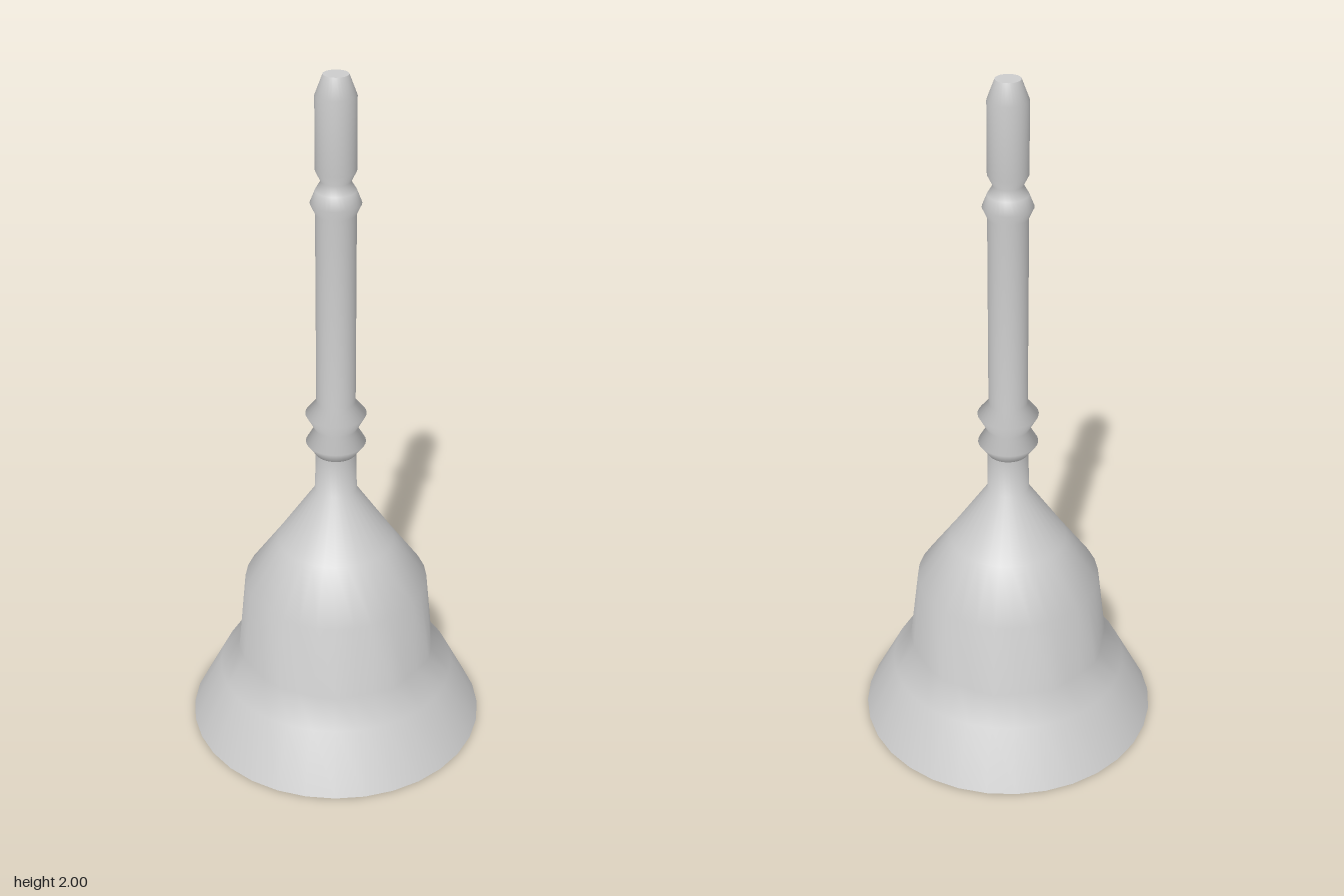
import * as THREE from 'three';
import { mergeVertices } from 'three/addons/utils/BufferGeometryUtils.js';

const SIDES = 32;
const WAIST_Y = 0.25;

// Turned surface with smooth normals and no seam; points run bottom to top as [radius, y]
function turned(points, reshape) {
  let geo = new THREE.LatheGeometry(points.map(([r, y]) => new THREE.Vector2(r, y)), SIDES);
  if (reshape) reshape(geo.attributes.position);
  geo.deleteAttribute('uv');
  geo.deleteAttribute('normal');
  geo = mergeVertices(geo, 1e-5);
  geo.computeVertexNormals();
  return geo;
}

// The waist ring is ten-sided, with corners at the front and back
function facetWaist(pos) {
  const step = Math.PI / 5;
  for (let i = 0; i < pos.count; i++) {
    if (Math.abs(pos.getY(i) - WAIST_Y) > 0.001) continue;
    const a = Math.atan2(pos.getX(i), pos.getZ(i)) + 2 * Math.PI;
    const k = Math.cos(step / 2) / Math.cos((a % step) - step / 2);
    pos.setX(i, pos.getX(i) * k);
    pos.setZ(i, pos.getZ(i) * k);
  }
}

export function createModel() {
  const group = new THREE.Group();
  const grey = new THREE.MeshStandardMaterial({ color: 0xcccccc, side: THREE.DoubleSide });
  grey.name = 'grey';

  const add = (name, geo) => {
    const mesh = new THREE.Mesh(geo, grey);
    mesh.name = name;
    group.add(mesh);
    return mesh;
  };

  // Open hollow bell with flared skirt, shoulder and neck
  add('bell', turned([
    [0.437, 0], [0.35, 0.17], [0.302, WAIST_Y], [0.268, 0.475],
    [0.17, 0.615], [0.06, 0.78], [0.058, 0.9],
  ], facetWaist));

  // Handle: double bead, plain shaft, single bead, rounded grip end
  add('handle', turned([
    [0.058, 0.9], [0.085, 0.937], [0.06, 0.98], [0.086, 1.027], [0.055, 1.065],
    [0.055, 1.625], [0.069, 1.655], [0.055, 1.69], [0.04, 1.715], [0.055, 1.745],
    [0.055, 1.945], [0.034, 2],
  ]));

  // Flat end of the handle
  const cap = add('handleCap', new THREE.CircleGeometry(0.034, SIDES));
  cap.rotation.x = -Math.PI / 2;
  cap.position.y = 2;

  return group;
}
